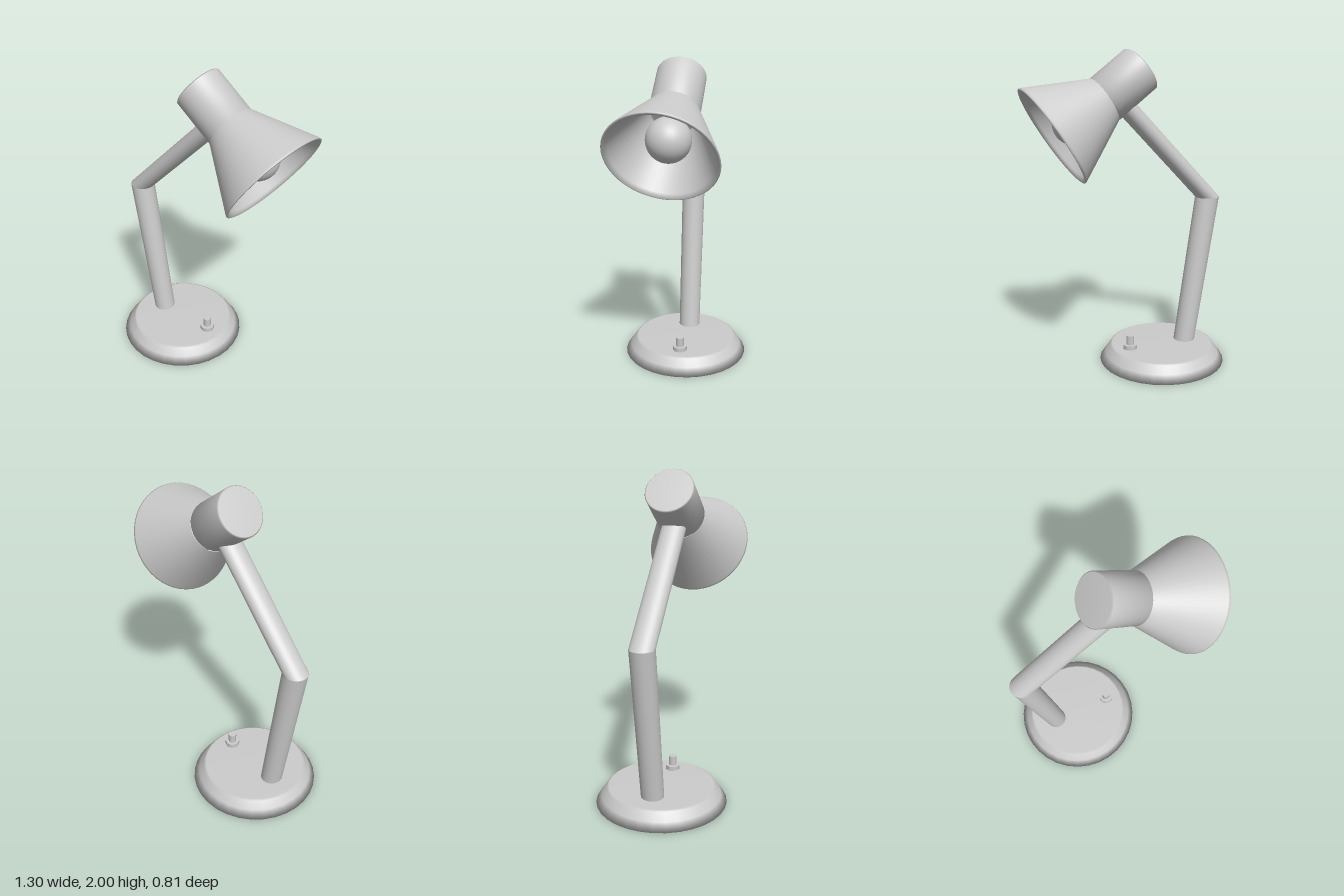
import * as THREE from 'three';

const material = new THREE.MeshStandardMaterial({ color: 0xcccccc });
const UP = new THREE.Vector3(0, 1, 0);

function add(parent, name, geometry, position = [0, 0, 0], direction = null) {
  const mesh = new THREE.Mesh(geometry, material);
  mesh.name = name;
  mesh.position.set(...position);
  if (direction) {
    mesh.quaternion.setFromUnitVectors(UP, new THREE.Vector3(...direction).normalize());
  }
  parent.add(mesh);
  return mesh;
}

const lathe = (profile, segments = 48) =>
  new THREE.LatheGeometry(profile.map(([r, y]) => new THREE.Vector2(r, y)), segments);

// Tube between two elliptical rings: centre (x, y), half axis (ux, uy), half depth rz
function loft(rings, segments = 32) {
  const positions = [];
  const indices = [];
  for (const { x, y, ux, uy, rz } of rings) {
    for (let i = 0; i < segments; i++) {
      const t = (i / segments) * Math.PI * 2;
      positions.push(x + ux * Math.cos(t), y + uy * Math.cos(t), rz * Math.sin(t));
    }
  }
  for (let r = 0; r < rings.length - 1; r++) {
    for (let i = 0; i < segments; i++) {
      const j = (i + 1) % segments;
      const a = r * segments;
      const b = a + segments;
      indices.push(a + i, b + i, b + j, a + i, b + j, a + j);
    }
  }
  const geometry = new THREE.BufferGeometry();
  geometry.setAttribute('position', new THREE.Float32BufferAttribute(positions, 3));
  geometry.setIndex(indices);
  geometry.computeVertexNormals();
  return geometry;
}

export function createModel() {
  const lamp = new THREE.Group();
  lamp.name = 'deskLamp';

  // Base: sloping skirt with a bevelled disc above it
  const base = new THREE.Group();
  base.name = 'base';
  base.position.x = -0.245;
  lamp.add(base);
  add(base, 'baseSkirt', lathe([[0, 0], [0.405, 0], [0.37, 0.05]], 32));
  add(base, 'baseTop', lathe([[0.37, 0.05], [0.338, 0.097], [0.325, 0.104], [0, 0.104]], 32));

  // Switch on the base
  add(lamp, 'switchCollar', new THREE.CylinderGeometry(0.047, 0.047, 0.04, 8), [-0.018, 0.112, 0]);
  add(lamp, 'switchButton', new THREE.CylinderGeometry(0.026, 0.026, 0.09, 8), [-0.018, 0.147, 0]);

  // Bent arm, mitred at the elbow
  const foot = { x: -0.409, y: 0.08, ux: 0.068, uy: 0, rz: 0.07 };
  const elbow = { x: -0.562, y: 1.063, ux: 0.0775, uy: 0, rz: 0.075 };
  const tip = { x: 0.04, y: 1.69, ux: 0.04, uy: -0.04, rz: 0.075 };
  add(lamp, 'lowerArm', loft([foot, elbow]));
  add(lamp, 'upperArm', loft([elbow, tip]));

  // Cylindrical lamp housing
  const housing = [[0, 0], [0.14, 0], [0.148, 0.008], [0.148, 0.296], [0, 0.296]];
  add(lamp, 'housing', lathe(housing), [-0.085, 1.8825, 0], [0.8, -0.6, 0]);

  // Conical shade with a rolled lip and a hollow inside
  const head = new THREE.Group();
  head.name = 'head';
  head.position.set(0.155, 1.7025, 0);
  head.quaternion.setFromUnitVectors(UP, new THREE.Vector3(0.3175, -0.2, 0.02).normalize());
  lamp.add(head);
  const shade = [
    [0.148, -0.005], [0.327, 0.362], [0.331, 0.374], [0.322, 0.378],
    [0.305, 0.366], [0.3, 0.355], [0.14, 0.025], [0.13, 0.02], [0, 0.02],
  ];
  add(head, 'shade', lathe(shade));
  add(head, 'bulbSocket', new THREE.CylinderGeometry(0.06, 0.06, 0.12, 24), [0, 0.07, 0]);

  // Bulb
  add(lamp, 'bulb', new THREE.SphereGeometry(0.13, 32, 24), [0.34, 1.58, 0]);

  return lamp;
}
